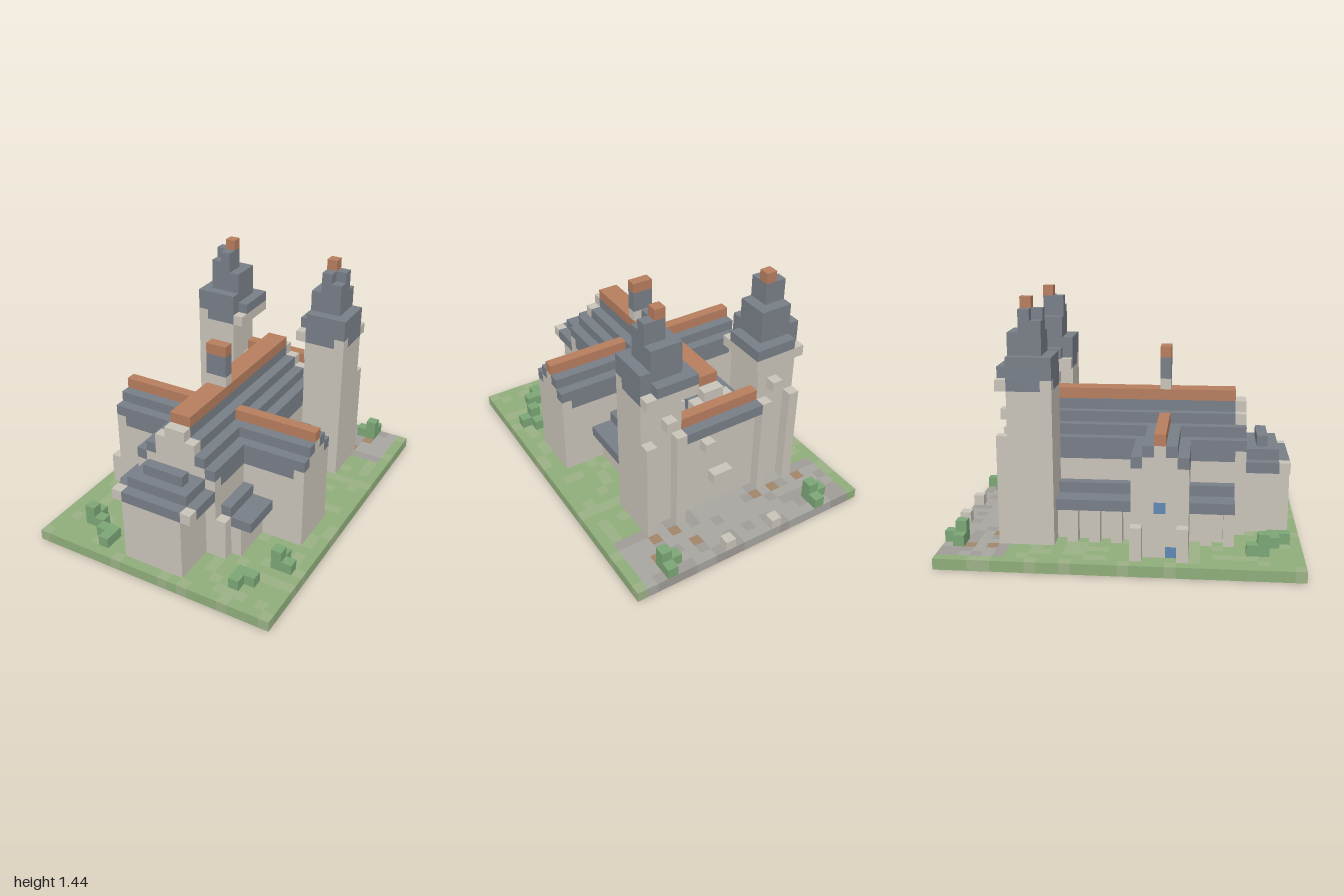
import * as THREE from 'three';
import { mergeGeometries } from 'three/addons/utils/BufferGeometryUtils.js';

const U = 1 / 16; // edge of one cube
const COLORS = {
  stone: 0xc8c3b8, slate: 0x787e87, terracotta: 0xb67d5e, grass: 0x8fad7a, lightGrass: 0x9bb086,
  bush: 0x7ba576, path: 0xa8a5a0, darkPath: 0x9f9b97, brown: 0xa08468, glass: 0x6088b4,
};

// one square per cube side: [direction, geometry]
const SIDES = [
  [[0, 0, 1], 0, 0], [[0, 0, -1], 0, Math.PI], [[1, 0, 0], 0, Math.PI / 2],
  [[-1, 0, 0], 0, -Math.PI / 2], [[0, 1, 0], -Math.PI / 2, 0], [[0, -1, 0], Math.PI / 2, 0],
].map(([dir, rx, ry]) => [dir,
  new THREE.PlaneGeometry(U, U).translate(0, 0, U / 2).rotateX(rx).rotateY(ry)]);

const key = (x, y, z) => x + ',' + y + ',' + z;

export function createModel() {
  const cells = new Map();

  // fills the cubes from x0 to x1, y0 to y1, z0 to z1
  const fill = (part, color, x0, x1, y0, y1, z0, z1) => {
    for (let x = x0; x < x1; x++)
      for (let y = y0; y < y1; y++)
        for (let z = z0; z < z1; z++) cells.set(key(x, y, z), { part, color, p: [x, y, z] });
  };
  // the same on both sides of x = 0
  const pair = (part, color, x0, x1, ...rest) => {
    fill(part, color, x0, x1, ...rest);
    fill(part, color, -x1, -x0, ...rest);
  };
  const hash = (x, z) => Math.abs(Math.sin(x * 12.99 + z * 78.23) * 43758.5) % 1;

  // ground: grass with a paved forecourt at the back
  for (let x = -12; x < 12; x++)
    for (let z = -16; z < 16; z++) {
      const paved = z < -10 && Math.abs(x + 0.5) < 11;
      const h = hash(x, z);
      const color = paved ? (h > 0.7 ? 'darkPath' : 'path') : (h > 0.75 ? 'lightGrass' : 'grass');
      fill('ground', color, x, x + 1, 0, 1, z, z + 1);
    }
  for (const [x, z] of [[-9, -14], [8, -14], [4, -14], [-9, -12], [-6, -12], [-4, -12], [5, -12], [7, -12]])
    fill('ground', 'brown', x, x + 1, 0, 1, z, z + 1);
  pair('forecourtPost', 'stone', 2, 3, 1, 2, -16, -15);

  // aisles under a stepped lean-to roof, with buttresses on the right
  pair('aisle', 'stone', 4, 6, 1, 5, -6, 10);
  for (let z = -5; z < 10; z += 2) fill('buttress', 'stone', -7, -6, 1, 4, z, z + 1);
  fill('aislePier', 'stone', 4, 5, 1, 5, 10, 11);
  pair('aisleRoof', 'slate', 4, 7, 4, 5, -6, 10);
  pair('aisleRoof', 'slate', 4, 5, 5, 6, -6, 10);

  // transept, stepping up to its ridge
  for (let k = 0; k < 3; k++) {
    fill('transept', 'stone', -10, 10, 1, 9 + k, 1 + k, 6 - k);
    fill('transeptRoof', k < 2 ? 'slate' : 'terracotta', -10, 10, 9 + k, 10 + k, 1 + k, 6 - k);
  }
  for (const z of [1, 5]) {
    fill('transeptRoof', 'slate', -9, 9, 8, 9, z, z + 1);
    fill('transeptPost', 'stone', -11, -10, 1, 4, z, z + 1);
  }
  fill('transeptWindow', 'glass', -10, -9, 5, 6, 3, 4);
  fill('transeptWindow', 'glass', -10, -9, 1, 2, 4, 5);

  // nave, stepping up to its ridge, with stone gables
  for (let k = 0; k < 4; k++) {
    const w = 4 - k;
    fill('nave', 'stone', -w, w, 1, 9 + k, -9, 11);
    fill('naveRoof', 'slate', -w, w, 9 + k, 10 + k, -9, 11);
    if (k > 1)
      for (const z of [-9, 10]) fill('gable', 'stone', -w, w, 9 + k, 10 + k, z, z + 1);
  }
  pair('naveRoof', 'slate', 3, 4, 8, 9, -8, 10);
  fill('ridge', 'terracotta', -1, 1, 13, 14, -8, 10);

  // crossing turret
  fill('turret', 'stone', -1, 1, 14, 15, 3, 4);
  fill('turret', 'slate', -1, 1, 15, 17, 3, 4);
  fill('turret', 'terracotta', -1, 1, 17, 18, 3, 4);

  // choir at the front, narrower than its overhanging stepped roof
  fill('choir', 'stone', -3, 3, 1, 8, 11, 15);
  fill('choirRoof', 'slate', -4, 4, 7, 8, 11, 15);
  pair('choirCorner', 'stone', 3, 4, 7, 8, 14, 15);
  fill('choirRoof', 'slate', -3, 3, 8, 9, 11, 14);
  fill('choirRoof', 'slate', -2, 2, 9, 10, 12, 13);

  // entrance wall between the towers
  fill('entranceWall', 'stone', -4, 4, 1, 11, -10, -8);
  fill('entranceRoof', 'slate', -4, 4, 10, 11, -11, -9);
  fill('entranceRoof', 'terracotta', -4, 4, 11, 12, -10, -9);
  fill('facadeBlock', 'stone', -1, 1, 4, 5, -11, -10);
  fill('facadeBlock', 'stone', 1, 2, 8, 9, -11, -10);

  // towers: shaft, corner posts, ledge, stepped spire and finial
  pair('tower', 'stone', 4, 8, 1, 16, -10, -6);
  pair('towerRoof', 'slate', 4, 8, 15, 18, -10, -6);
  pair('tower', 'stone', 7, 8, 15, 16, -7, -6);
  pair('towerLedge', 'stone', 3, 8, 15, 16, -11, -10);
  pair('towerLedge', 'stone', 3, 4, 15, 16, -11, -6);
  pair('towerLedge', 'slate', 3, 7, 16, 17, -11, -10);
  pair('towerLedge', 'slate', 3, 4, 16, 17, -11, -7);
  pair('spire', 'slate', 4, 7, 18, 20, -10, -7);
  pair('spire', 'slate', 5, 7, 20, 21, -9, -7);
  pair('spire', 'slate', 5, 6, 21, 22, -9, -7);
  pair('spire', 'slate', 6, 7, 21, 22, -9, -8);
  pair('finial', 'terracotta', 5, 6, 22, 23, -9, -8);
  pair('pilaster', 'stone', 4, 5, 1, 11, -11, -10);
  pair('pilaster', 'stone', 7, 8, 1, 11, -11, -10);
  pair('towerBlock', 'stone', 5, 6, 12, 13, -11, -10);
  fill('towerBlock', 'stone', 3, 4, 12, 13, -9, -8);

  // bushes
  const bush = (...box) => fill('bush', 'bush', ...box);
  pair('bush', 'bush', 7, 9, 1, 2, -15, -14);
  for (const x of [-8, 8]) {
    bush(x, x + 1, 1, 2, -16, -15);
    bush(x, x + 1, 2, 3, -15, -14);
  }
  bush(-9, -8, 1, 2, 11, 13);
  bush(-9, -8, 2, 3, 12, 13);
  bush(-8, -7, 1, 2, 12, 13);
  bush(-7, -5, 1, 2, 13, 14);
  bush(-6, -5, 1, 2, 14, 15);
  bush(9, 10, 1, 2, 8, 10);
  bush(9, 10, 2, 3, 9, 10);
  bush(10, 11, 1, 2, 9, 10);
  bush(7, 8, 1, 2, 12, 14);
  bush(8, 9, 1, 2, 12, 13);

  // gather the outer squares by part and colour; the shell is open underneath
  const parts = {};
  for (const { part, color, p: [x, y, z] } of cells.values())
    for (const [d, square] of SIDES)
      if (y + d[1] >= 0 && !cells.has(key(x + d[0], y + d[1], z + d[2]))) {
        const byColor = (parts[part] ??= {});
        (byColor[color] ??= []).push(square.clone().translate((x + 0.5) * U, (y + 0.5) * U, (z + 0.5) * U));
      }

  const model = new THREE.Group();
  model.name = 'cathedral';
  const materials = {};
  for (const [part, byColor] of Object.entries(parts)) {
    const group = new THREE.Group();
    group.name = part;
    for (const [color, squares] of Object.entries(byColor)) {
      materials[color] ??= new THREE.MeshStandardMaterial({ color: COLORS[color], side: THREE.DoubleSide });
      const mesh = new THREE.Mesh(mergeGeometries(squares), materials[color]);
      mesh.name = part + ' ' + color;
      group.add(mesh);
    }
    model.add(group);
  }
  return model;
}
